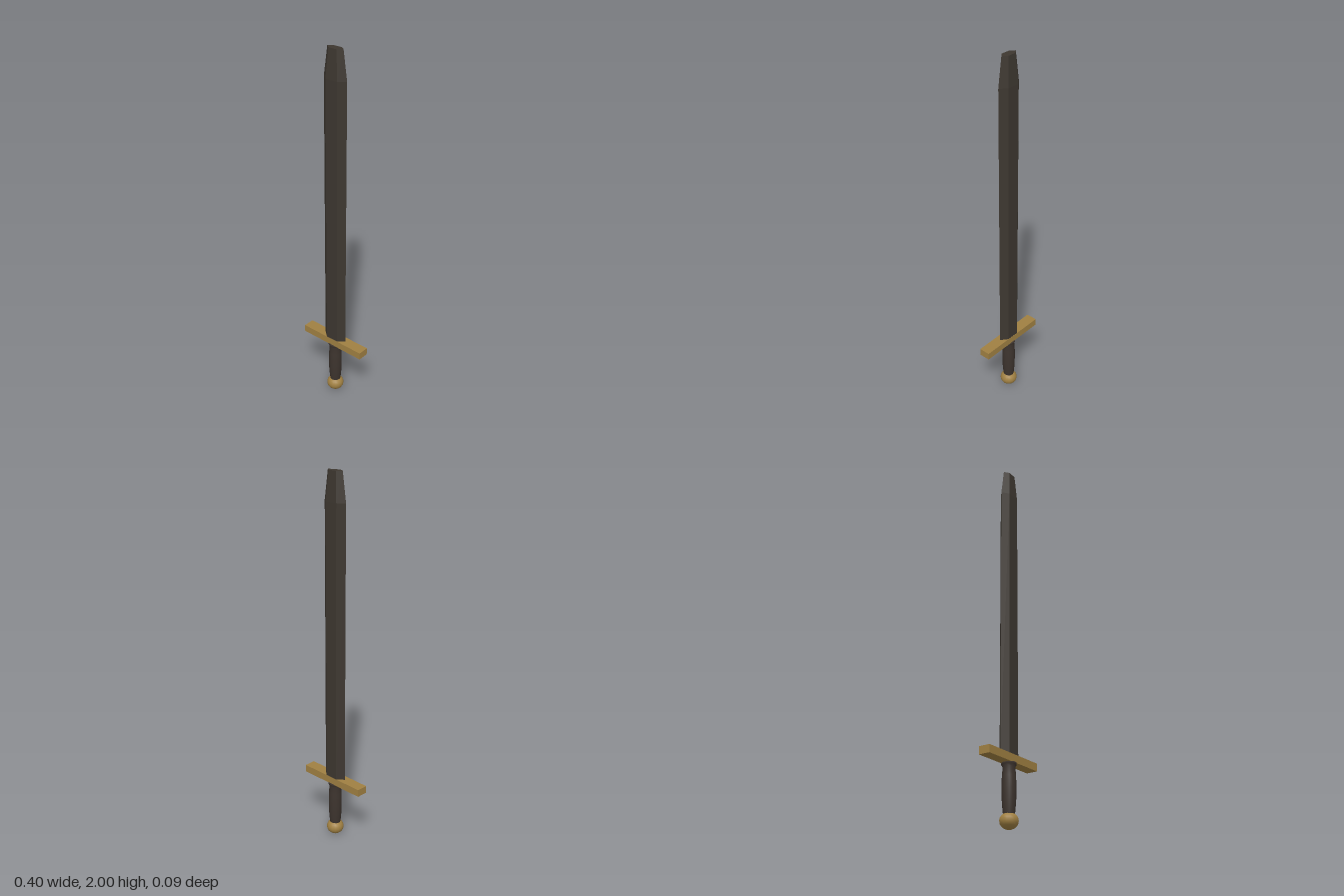
import * as THREE from 'three';

const mat = (name, color, flatShading = false) => {
  const m = new THREE.MeshStandardMaterial({ color, flatShading });
  m.name = name;
  return m;
};

export function createModel() {
  const sword = new THREE.Group();
  sword.name = 'sword';
  const darkSteel = mat('darkSteel', 0x3d3730, true);
  const leather = mat('darkLeather', 0x3d342e);
  const brass = mat('brass', 0xa08042);

  const add = (name, geometry, material, y) => {
    const mesh = new THREE.Mesh(geometry, material);
    mesh.name = name;
    mesh.position.y = y;
    sword.add(mesh);
    return mesh;
  };

  // Six-sided blade section, edges on +x and -x, broad flats on +z and -z
  const bladeSection = (topScale, bottom, top, open) => {
    const g = new THREE.CylinderGeometry(topScale, 1, top - bottom, 6, 1, open, Math.PI / 2);
    return g.scale(0.072, 1, 0.0346).translate(0, (top + bottom) / 2, 0);
  };
  add('blade', bladeSection(1, 0.34, 1.85, true), darkSteel, 0);
  add('bladeTip', bladeSection(0.69, 1.85, 2, false), darkSteel, 0);

  // Straight crossguard
  add('crossguard', new THREE.BoxGeometry(0.4, 0.04, 0.062), brass, 0.34);

  // Turned grip with a small collar under the guard
  const gripProfile = [
    [0.028, 0.065], [0.031, 0.09], [0.035, 0.14], [0.036, 0.2], [0.035, 0.255],
    [0.031, 0.3], [0.038, 0.312], [0.038, 0.322], [0, 0.322],
  ].map(([r, y]) => new THREE.Vector2(r, y));
  add('grip', new THREE.LatheGeometry(gripProfile, 14), leather, 0);

  // Slightly flattened round pommel
  const pommel = add('pommel', new THREE.SphereGeometry(0.047, 16, 10), brass, 0.041);
  pommel.scale.y = 0.041 / 0.047;

  return sword;
}
